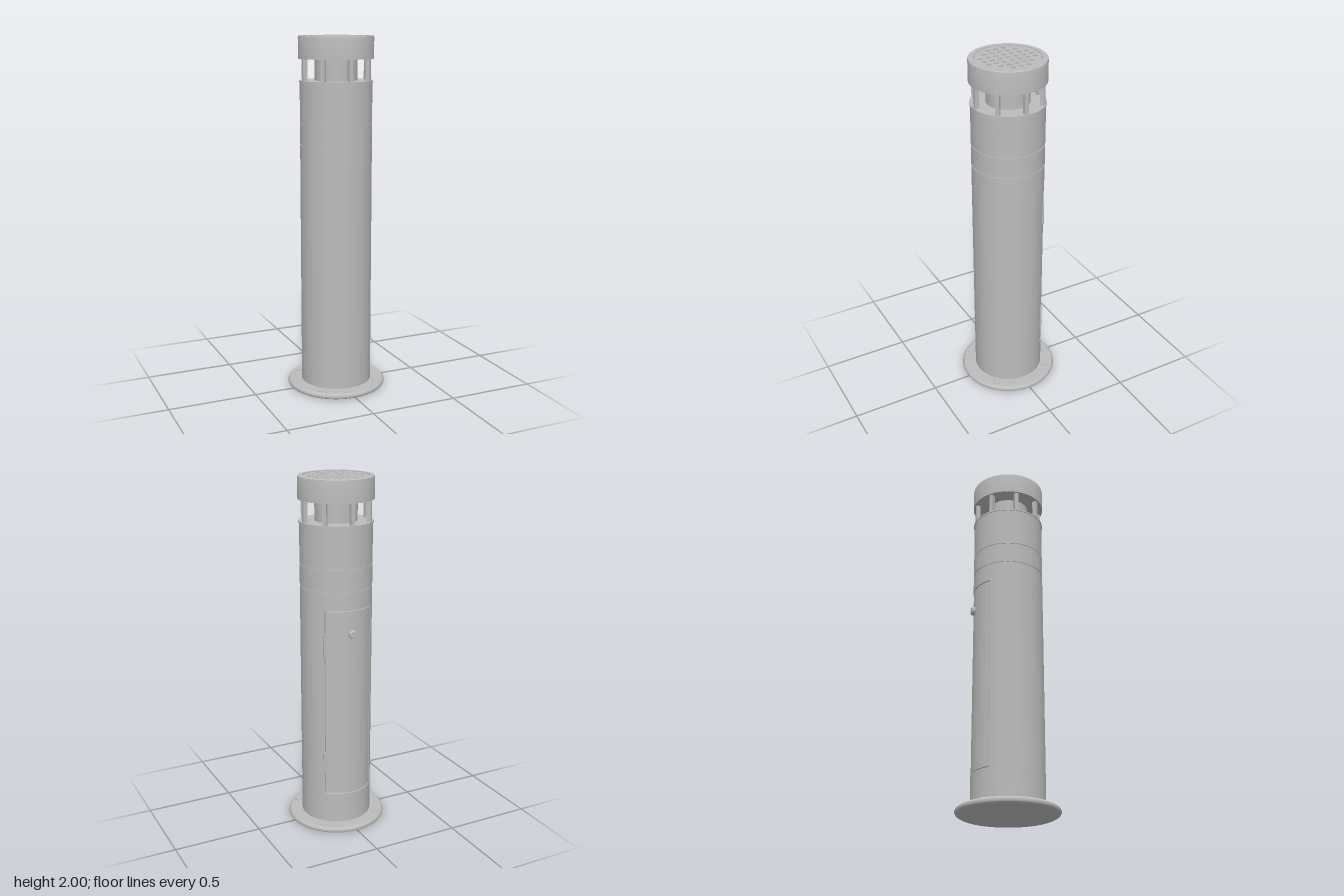
import * as THREE from 'three';
import { toCreasedNormals } from 'three/addons/utils/BufferGeometryUtils.js';

const metal = new THREE.MeshStandardMaterial({ color: 0xbcbcbc });
metal.name = 'grey metal';

const RAD = Math.PI / 180;

export function createModel() {
  const group = new THREE.Group();

  const add = (name, geometry, x = 0, y = 0, z = 0) => {
    const mesh = new THREE.Mesh(geometry, metal);
    mesh.name = name;
    mesh.position.set(x, y, z);
    group.add(mesh);
    return mesh;
  };

  // Turned part from a profile of [radius, height], bottom to top
  const turned = (name, profile, x, y, z, sides = 72) =>
    add(name, toCreasedNormals(
      new THREE.LatheGeometry(profile.map(([r, h]) => new THREE.Vector2(r, h)), sides), 0.5), x, y, z);

  // Upright piece extruded from a flat shape; shape y points to the back
  const upright = (name, shape, y0, y1, curveSegments = 48) => {
    const g = new THREE.ExtrudeGeometry(shape, { depth: y1 - y0, bevelEnabled: false, curveSegments });
    g.rotateX(-Math.PI / 2);
    return add(name, toCreasedNormals(g, 0.5), 0, y0, 0);
  };

  // Curved wall between two angles; 90 degrees is the back
  const wall = (name, inner, outer, a0, a1, y0, y1) => {
    const s = new THREE.Shape();
    s.absarc(0, 0, outer, a0 * RAD, a1 * RAD, false);
    s.absarc(0, 0, inner, a1 * RAD, a0 * RAD, true);
    s.closePath();
    return upright(name, s, y0, y1);
  };

  // Base flange with rounded rim
  turned('baseFlange', [[0, 0], [0.268, 0], [0.276, 0.005], [0.28, 0.013], [0.28, 0.019],
    [0.276, 0.027], [0.268, 0.033], [0, 0.033]]);

  // Anchor bolts
  for (const x of [-0.17, 0.17]) for (const z of [-0.17, 0.17]) {
    turned('anchorBolt', [[0.017, 0], [0.017, 0.004], [0.014, 0.007], [0, 0.007]], x, 0.033, z, 24);
  }

  // Column below, around and above the door opening
  const R = 0.2, doorLow = 0.21, doorHigh = 1.3;
  turned('lowerColumn', [[R, 0.03], [R, doorLow], [0.18, doorLow]]);
  wall('columnShell', 0.18, R, 135, 405, doorLow, doorHigh);
  turned('upperColumn', [[0.18, doorHigh], [R, doorHigh], [R, 1.402], [0.196, 1.402], [0.196, 1.407],
    [R, 1.407], [R, 1.523], [0.196, 1.523], [0.196, 1.528], [R, 1.528], [R, 1.749],
    [0.204, 1.749], [0.204, 1.758], [0, 1.758]]);

  // Service door set into the opening, with a thin gap round it
  wall('doorBacking', 0.175, 0.185, 44, 136, doorLow, doorHigh);
  wall('door', 0.18, 0.198, 46, 134, doorLow + 0.005, doorHigh - 0.005);

  // Door hinges
  for (const y of [0.405, 1.105]) {
    add('doorHinge', new THREE.CylinderGeometry(0.008, 0.008, 0.13, 16),
      0.2 * Math.cos(45 * RAD), y, -0.2 * Math.sin(45 * RAD));
  }

  // Door lock
  const lock = turned('doorLock', [[0.024, 0], [0.024, 0.016], [0.02, 0.021], [0, 0.021]], 0, 1.165, -0.195, 24);
  lock.rotation.x = -Math.PI / 2;

  // Lamp core and the eight posts that carry the cap
  add('lampCore', new THREE.CylinderGeometry(0.117, 0.117, 0.13, 48, 1, true), 0, 1.817, 0);
  for (let i = 0; i < 8; i++) {
    const a = i * Math.PI / 4;
    const post = add('capPost', new THREE.BoxGeometry(0.022, 0.13, 0.024),
      0.186 * Math.sin(a), 1.817, 0.186 * Math.cos(a));
    post.rotation.y = a;
  }

  // Cap with a softened top edge and a shallow recess
  turned('cap', [[0, 1.875], [0.208, 1.875], [0.208, 1.99], [0.207, 1.996], [0.203, 2],
    [0.178, 2], [0.178, 1.984], [0, 1.984]]);

  // Perforated top plate
  const plate = new THREE.Shape();
  plate.absarc(0, 0, 0.177, 0, Math.PI * 2, false);
  const pitch = 0.045, reach = [3, 3, 2, 1];
  for (let row = -3; row <= 3; row++) {
    const n = reach[Math.abs(row)];
    for (let col = -n; col <= n; col++) {
      const hole = new THREE.Path();
      hole.absarc(col * pitch, row * pitch, 0.0125, 0, Math.PI * 2, true);
      plate.holes.push(hole);
    }
  }
  upright('perforatedPlate', plate, 1.984, 1.997, 24);

  // Slotted screws holding the plate
  for (const x of [-0.166, 0.166]) {
    turned('plateScrew', [[0.012, 0], [0.012, 0.002], [0.01, 0.003], [0, 0.003]], x, 1.997, 0, 24);
    add('screwSlot', new THREE.BoxGeometry(0.013, 0.002, 0.003), x, 1.9995, 0);
  }

  return group;
}
